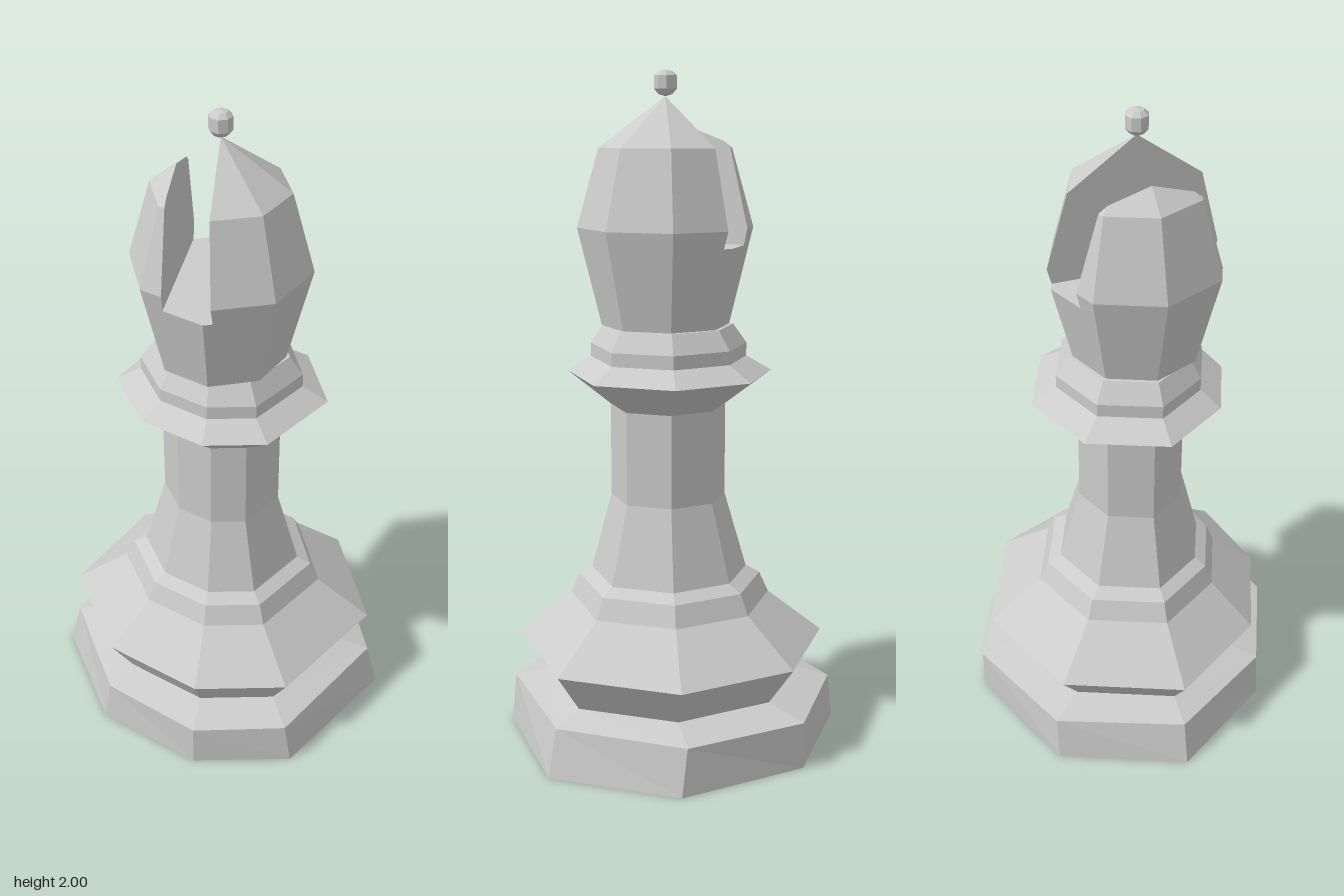
import * as THREE from 'three';
import { ConvexGeometry } from 'three/addons/geometries/ConvexGeometry.js';

const AXIS_Z = 0.035; // the turned axis sits slightly forward of centre

// Uneven eight-sided outline (x, z) at unit radius, starting at the front
const OUTLINE = [
  [0, 0.87], [0.565, 0.745], [1, 0], [0.71, -0.72],
  [0, -1.01], [-0.71, -0.72], [-1, 0], [-0.61, 0.62],
];

const material = new THREE.MeshStandardMaterial({ color: 0xcccccc, flatShading: true });

function addMesh(group, name, geometry) {
  const mesh = new THREE.Mesh(geometry, material);
  mesh.name = name;
  mesh.position.z = AXIS_Z;
  group.add(mesh);
}

// Eight-sided lathe from [radius, height] points
function turned(profile) {
  return new THREE.LatheGeometry(profile.map(([r, y]) => new THREE.Vector2(r, y)), 8);
}

// Lathe reshaped to the uneven outline; a third value sets a separate depth radius
function turnedUneven(profile) {
  const geometry = turned(profile);
  const pos = geometry.attributes.position;
  for (let i = 0; i < pos.count; i++) {
    const [r, y, depth = r] = profile[i % profile.length];
    const [ox, oz] = OUTLINE[Math.floor(i / profile.length) % 8];
    pos.setXYZ(i, ox * r, y, oz * depth);
  }
  const flat = geometry.toNonIndexed();
  flat.computeVertexNormals();
  return flat;
}

// Regular octagonal rings of points
function rings(profile) {
  return profile.map(([r, y]) => Array.from({ length: 8 }, (_, k) => {
    const a = (k * Math.PI) / 4;
    return new THREE.Vector3(Math.sin(a) * r, y, Math.cos(a) * r);
  }));
}

// Convex solid through the rings, keeping the part where side(point) >= 0
function cutSolid(rows, side) {
  const points = [];
  const crossing = (a, b) => {
    const da = side(a), db = side(b);
    if (da * db < -1e-9) points.push(a.clone().lerp(b, da / (da - db)));
  };
  rows.forEach((row, i) => row.forEach((p, k) => {
    if (side(p) >= -1e-6) points.push(p);
    crossing(p, row[(k + 1) % 8]);
    if (i + 1 < rows.length) crossing(p, rows[i + 1][k]);
  }));
  const unique = points.filter((p, i) => points.findIndex((q) => q.distanceTo(p) < 1e-5) === i);
  return new ConvexGeometry(unique);
}

export function createModel() {
  const model = new THREE.Group();
  model.name = 'chessPiece';

  // Foot
  addMesh(model, 'base', turnedUneven([
    [0, 0], [0.525, 0, 0.52], [0.49, 0.14, 0.52], [0.395, 0.17],
  ]));
  // Flared skirt with its upper steps
  addMesh(model, 'skirt', turnedUneven([
    [0.395, 0.17], [0.48, 0.29], [0.315, 0.42], [0.287, 0.482], [0.245, 0.505],
  ]));
  // Stem
  addMesh(model, 'stem', turnedUneven([[0.245, 0.505], [0.178, 0.74], [0.178, 1.02]]));
  // Collar
  addMesh(model, 'collar', turnedUneven([
    [0.178, 1.02], [0.315, 1.12], [0.24, 1.165], [0.24, 1.205], [0.2, 1.262], [0, 1.265],
  ]));

  // Head: a solid lower half, and two upper halves separated by the slot
  const slotFloor = [0.248, 1.5];
  addMesh(model, 'headLower', turned([[0, 1.262], [0.19, 1.262], slotFloor, [0, 1.5]]));
  const upper = rings([slotFloor, [0.26, 1.55], [0.195, 1.78], [0, 1.925]]);
  addMesh(model, 'headLeft', cutSolid(upper, (p) => p.x + 0.0588 * (p.y - 1.925)));
  addMesh(model, 'headRight', cutSolid(upper, (p) => -0.12 - p.x));

  // Finial bead
  addMesh(model, 'finial', turned([
    [0, 1.925], [0.02, 1.931], [0.033, 1.946], [0.033, 1.984], [0.02, 1.996], [0, 2],
  ]));

  return model;
}
